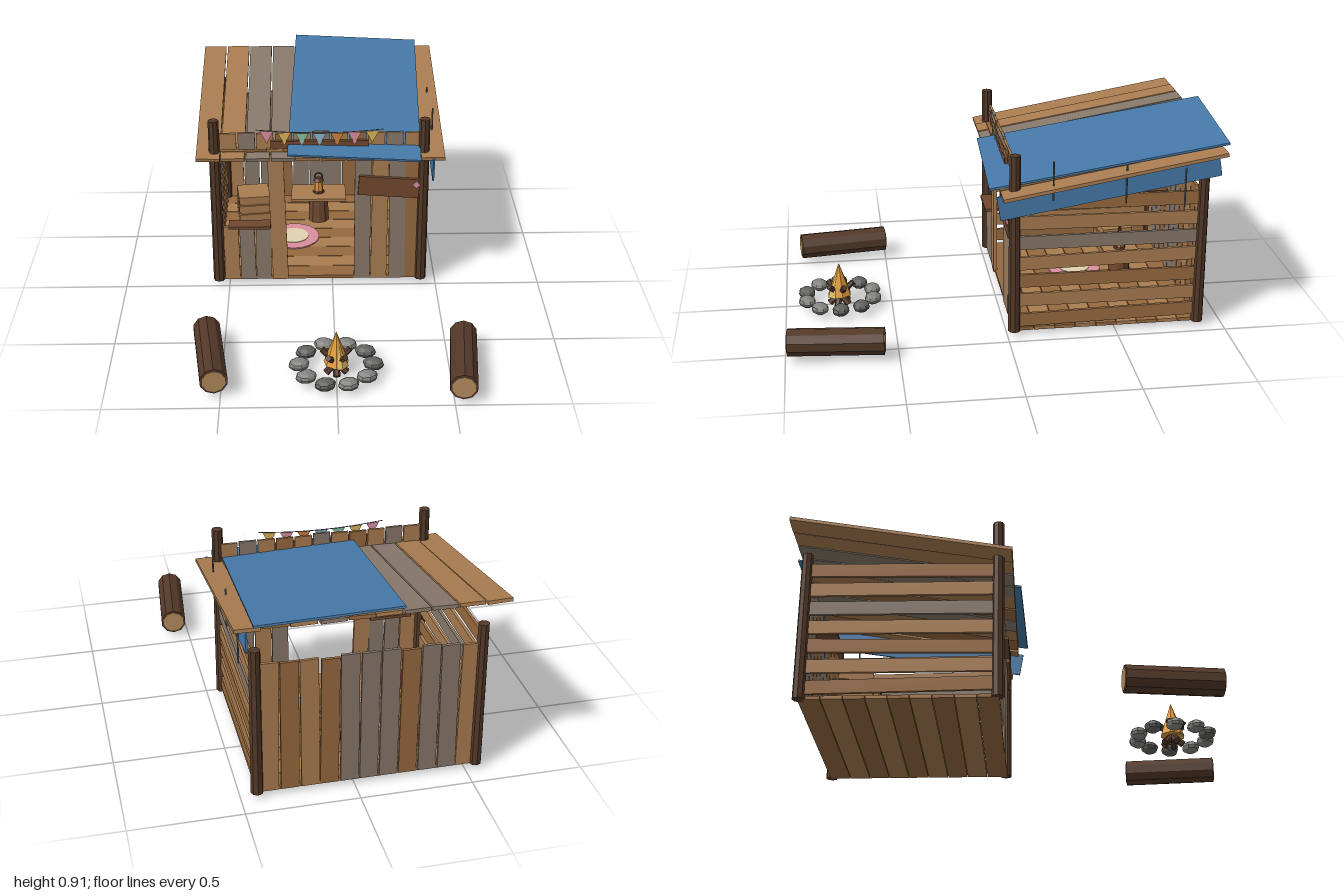
import * as THREE from 'three';

const C = {
  tan: 0xa97c50, brown: 0x96693f, gray: 0x87786a, dark: 0x523828, plank: 0x70482f, tarp: 0x4579a8,
  end: 0xb28a5c, rope: 0x5b6468, pink: 0xd98fa0, yellow: 0xd9b65a, teal: 0x86c0a5, sky: 0x8db4cb,
  orange: 0xd08040, stone: 0x83837f, stone2: 0x62625f, flame: 0xe09a3a, cream: 0xe0d3b0, red: 0xa8324a
};
const cache = {};
const mat = c => cache[c] ??= new THREE.MeshStandardMaterial({
  color: c, flatShading: true, side: THREE.DoubleSide });

let seed = 7;
const jitter = a => {
  seed = (seed * 16807) % 2147483647;
  return (seed / 2147483647 - 0.5) * 2 * a;
};

export function createModel() {
  const model = new THREE.Group();
  model.name = 'campHut';

  const add = (name, geo, color, p, r = [0, 0, 0], parent = model) => {
    const m = new THREE.Mesh(geo, mat(color));
    m.name = name;
    m.position.set(...p);
    m.rotation.set(...r);
    parent.add(m);
    return m;
  };
  const group = (name, p = [0, 0, 0], r = [0, 0, 0]) => {
    const g = new THREE.Group();
    g.name = name;
    g.position.set(...p);
    g.rotation.set(...r);
    model.add(g);
    return g;
  };
  const box = (name, s, color, p, r, parent) => add(name, new THREE.BoxGeometry(...s), color, p, r, parent);
  const cyl = (name, r1, r2, h, n, color, p, r, parent) =>
    add(name, new THREE.CylinderGeometry(r1, r2, h, n), color, p, r, parent);

  // Corner posts
  for (const x of [-0.55, 0.427]) {
    cyl('frontPost', 0.025, 0.028, 0.845, 8, C.dark, [x, 0.443, -0.032]);
    cyl('backPost', 0.025, 0.028, 0.7, 8, C.dark, [x, 0.37, -0.883]);
  }

  // Floor boards
  const floor = group('floor');
  for (let i = 0; i < 9; i++)
    box('floorBoard', [0.98, 0.016, 0.093], i % 2 ? C.tan : C.brown, [-0.06, 0.028, -0.075 - i * 0.0955], [0, 0, 0], floor);

  // Back wall of upright boards
  const backWall = group('backWall');
  'tggtgggtttt'.split('').forEach((k, i) => {
    const h = 0.62 + jitter(0.012);
    box('backBoard', [0.08, h, 0.014], k === 'g' ? C.gray : i % 2 ? C.brown : C.tan,
      [-0.5 + i * 0.087, 0.022 + h / 2, -0.883], [0, 0, jitter(0.012)], backWall);
  });

  // Slatted side walls
  for (const x of [-0.55, 0.427]) {
    const wall = group('sideWall');
    for (let i = 0; i < 7; i++)
      box('sideSlat', [0.014, 0.063, 0.83], i === 4 ? C.gray : i % 2 ? C.tan : C.brown,
        [x, 0.08 + i * 0.0925, -0.457], [jitter(0.02), 0, 0], wall);
  }

  // Front wall: tall boards right of the doorway, jamb, low boards under the window
  const front = group('frontWall');
  [[0.143, C.gray], [0.225, C.tan], [0.308, C.gray], [0.38, C.brown]].forEach(([x, c]) =>
    box('frontBoard', [0.077, 0.67, 0.014], c, [x, 0.357, -0.032], [0, 0, jitter(0.015)], front));
  box('doorJamb', [0.075, 0.7, 0.018], C.tan, [-0.26, 0.372, -0.03], [0, 0, 0.025], front);
  [C.tan, C.gray, C.gray].forEach((c, i) =>
    box('lowBoard', [0.072, 0.29, 0.014], c, [-0.485 + i * 0.077, 0.167, -0.032], [0, 0, jitter(0.015)], front));
  box('windowSill', [0.2, 0.014, 0.07], C.plank, [-0.395, 0.323, -0.025], [0, 0, 0], front);
  box('headerRail', [0.92, 0.022, 0.02], C.brown, [-0.05, 0.703, -0.03], [0, 0, 0], front);
  for (let i = 0; i < 11; i++)
    box('headerBoard', [0.079, 0.11, 0.012], [C.tan, C.brown, C.tan, C.gray][(i + 2) % 4],
      [-0.487 + i * 0.0865, 0.742 + jitter(0.005), -0.045], [0, 0, jitter(0.02)], front);
  box('headerPlank', [0.455, 0.04, 0.016], C.plank, [-0.06, 0.742, -0.03], [0, 0, 0], front);

  // Hanging sign board with a small flower
  const sign = group('sign', [0.265, 0.527, -0.012], [0, 0, -0.075]);
  box('signBoard', [0.287, 0.097, 0.016], C.plank, [0, 0, 0], [0, 0, 0], sign);
  box('signFlower', [0.026, 0.026, 0.008], C.pink, [0.128, 0.024, 0.011], [0, 0, Math.PI / 4], sign);

  // Sloping plank roof
  const roof = group('roof', [0, 0.776, -0.465], [0.168, 0, 0]);
  const roofColors = [C.tan, C.tan, C.gray, C.gray, C.tan, C.brown, C.gray, C.tan, C.brown, C.tan];
  roofColors.forEach((c, i) =>
    box('roofPlank', [0.11, 0.016, 1.005], c, [-0.582 + i * 0.1165, jitter(0.004), 0],
      [0, jitter(0.01), i === 0 ? -0.03 : jitter(0.02)], roof));

  // Tarp, its hanging side flap and tie cords
  box('tarp', [0.617, 0.01, 1.08], C.tarp, [0.118, 0.805, -0.463], [0.168, -0.038, -0.035]);
  box('tarpFlap', [0.008, 0.112, 1.0], C.tarp, [0.468, 0.718, -0.447], [0.166, 0, 0]);
  [[0.757, -0.195], [0.727, -0.52], [0.698, -0.785]].forEach(([y, z]) =>
    cyl('tieCord', 0.004, 0.004, 0.18, 5, C.rope, [0.476, y, z]));

  // Bunting on a sagging string
  const bunting = group('bunting', [0, 0, -0.02]);
  const sag = x => 0.803 + 0.19 * (x + 0.06) ** 2;
  const line = new THREE.CatmullRomCurve3([-0.355, -0.2, -0.06, 0.08, 0.235].map(x => new THREE.Vector3(x, sag(x) + 0.002, 0)));
  add('string', new THREE.TubeGeometry(line, 16, 0.002, 4), C.rope, [0, 0, 0], [0, 0, 0], bunting);
  const flag = new THREE.ShapeGeometry(new THREE.Shape([
    new THREE.Vector2(-0.031, 0), new THREE.Vector2(0, -0.06), new THREE.Vector2(0.031, 0)]));
  [C.pink, C.yellow, C.teal, C.sky, C.orange, C.pink, C.yellow].forEach((c, i) => {
    const x = -0.305 + i * 0.0815;
    add('flag', flag, c, [x, sag(x), 0.003], [0, 0, 0], bunting);
  });

  // Shelf with books on the back wall
  const shelf = group('shelf', [-0.257, 0.445, -0.82]);
  box('shelfBoard', [0.257, 0.012, 0.1], C.plank, [0, 0, 0], [0, 0, 0], shelf);
  [[-0.075, 0.052, C.sky, 0], [-0.057, 0.05, C.sky, 0], [0.052, 0.07, C.red, -0.15], [0.072, 0.06, C.sky, 0]]
    .forEach(([x, h, c, t]) => box('book', [0.015, h, 0.06], c, [x, 0.006 + h / 2, 0], [0, 0, t], shelf));

  // Stump table with lantern
  const table = group('table', [-0.06, 0.036, -0.62]);
  cyl('stump', 0.05, 0.055, 0.14, 10, C.plank, [0, 0.07, 0], [0, 0, 0], table);
  box('tableTop', [0.28, 0.014, 0.17], C.tan, [0, 0.147, 0], [0, 0, 0], table);
  cyl('lanternBase', 0.027, 0.03, 0.012, 8, C.dark, [0, 0.16, 0], [0, 0, 0], table);
  cyl('lanternGlass', 0.022, 0.024, 0.06, 8, C.flame, [0, 0.193, 0], [0, 0, 0], table);
  cyl('lanternCap', 0.016, 0.029, 0.014, 8, C.dark, [0, 0.228, 0], [0, 0, 0], table);
  add('lanternHandle', new THREE.TorusGeometry(0.02, 0.004, 5, 14), C.dark, [0, 0.244, 0], [0, 0, 0], table);

  // Crate in the back corner
  const crate = group('crate', [-0.4, 0.036, -0.66], [0, 0.12, 0]);
  box('crateBody', [0.15, 0.14, 0.14], C.brown, [0, 0.07, 0], [0, 0, 0], crate);
  for (const y of [0.025, 0.075, 0.125])
    box('crateSlat', [0.162, 0.036, 0.152], C.tan, [0, y, 0], [0, 0, 0], crate);

  // Round rug
  cyl('rug', 0.13, 0.13, 0.006, 20, C.pink, [-0.19, 0.039, -0.42]);
  cyl('rugCentre', 0.075, 0.075, 0.004, 20, C.cream, [-0.19, 0.043, -0.42]);

  // Campfire: stone ring, crossed logs and flames
  const fire = group('campfire', [0, 0, 0.745]);
  for (let i = 0; i < 10; i++) {
    const a = i * Math.PI / 5;
    const s = add('stone', new THREE.SphereGeometry(1, 8, 6), i % 3 ? C.stone : C.stone2,
      [Math.cos(a) * 0.163, 0.045, Math.sin(a) * 0.163], [0, jitter(0.4), 0], fire);
    s.scale.set(0.048, 0.027, 0.04);
  }
  for (let i = 0; i < 5; i++) {
    const arm = new THREE.Group();
    arm.name = 'fireLogArm';
    arm.rotation.y = 0.35 + i * Math.PI * 0.4;
    fire.add(arm);
    cyl('fireLog', 0.014, 0.016, 0.15, 6, C.dark, [0.008, 0.06, 0], [0, 0, -0.85], arm);
  }
  add('flame', new THREE.ConeGeometry(0.056, 0.16, 7), C.flame, [0, 0.133, 0], [0, 0, 0], fire);
  add('innerFlame', new THREE.ConeGeometry(0.042, 0.1, 6), C.yellow, [0.012, 0.1, 0.018], [0, 0.4, 0], fire);

  // Log seats with pale cut ends
  for (const [x, z, yaw] of [[-0.5525, 0.712, 0.128], [0.555, 0.775, -0.093]]) {
    const seat = group('logSeat', [x, 0.083, z], [0, yaw, 0]);
    cyl('bark', 0.062, 0.062, 0.425, 10, C.dark, [0, 0, 0], [Math.PI / 2, 0, 0], seat);
    cyl('cutEnds', 0.052, 0.052, 0.431, 10, C.end, [0, 0, 0], [Math.PI / 2, 0, 0], seat);
  }
  return model;
}
